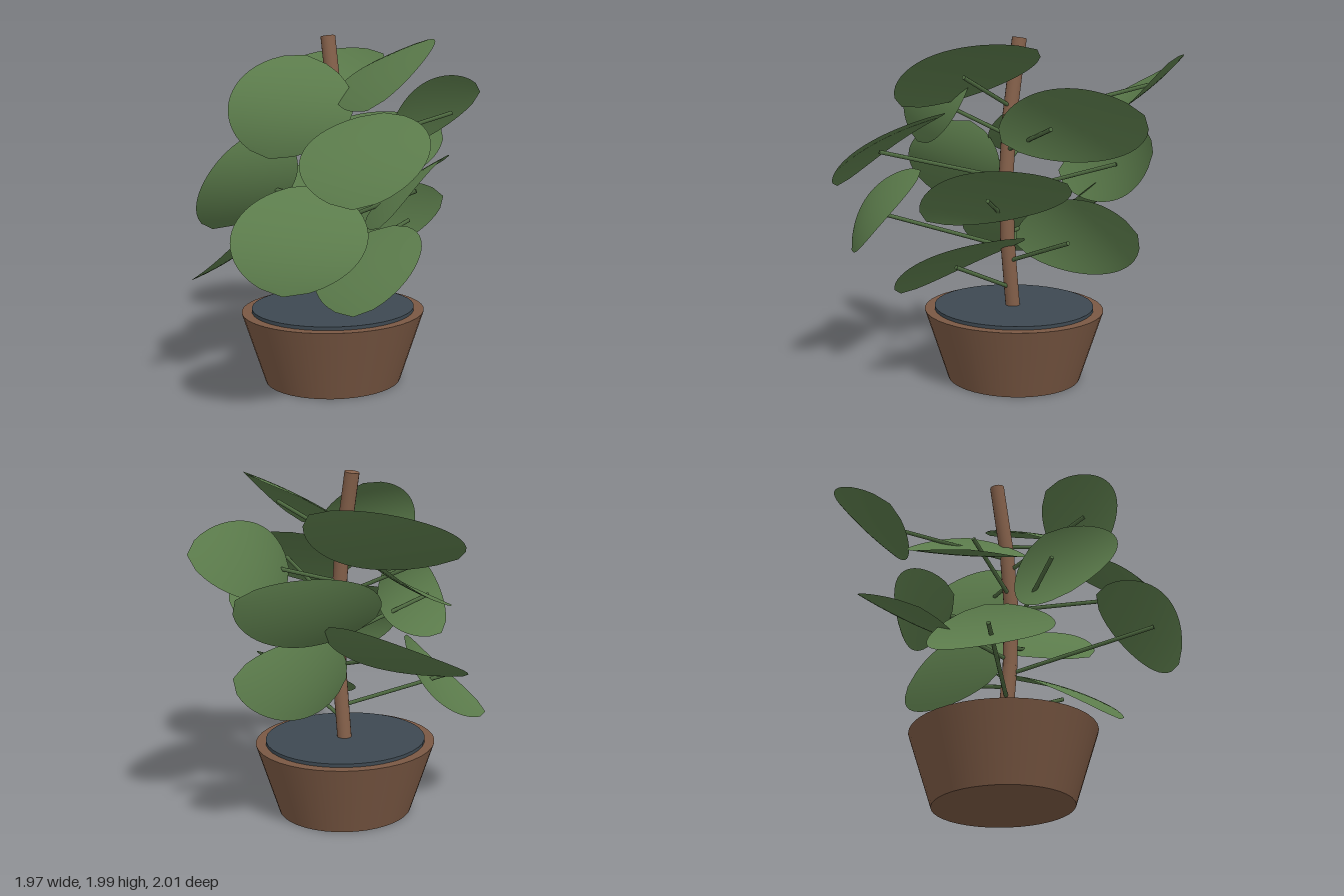
import * as THREE from 'three';

const mat = (color, side = THREE.FrontSide) => new THREE.MeshStandardMaterial({ color, side });

// Straight rod between two points
function rod(name, a, b, radius, material, sides) {
  const dir = b.clone().sub(a);
  const mesh = new THREE.Mesh(new THREE.CylinderGeometry(radius, radius, dir.length(), sides), material);
  mesh.position.copy(a).add(b).multiplyScalar(0.5);
  mesh.quaternion.setFromUnitVectors(new THREE.Vector3(0, 1, 0), dir.normalize());
  mesh.name = name;
  return mesh;
}

// Broad leaf blade: lemon outline, bent along its length
function leafBlade() {
  const geo = new THREE.PlaneGeometry(2, 2, 12, 20);
  const p = geo.attributes.position;
  for (let i = 0; i < p.count; i++) {
    const v = p.getX(i), u = p.getY(i);
    const w = 0.335 * Math.pow(Math.max(0, 1 - u * u), 0.62);
    p.setXYZ(i, v * w, u * 0.45, -0.09 * u * u - 0.02 * v * v * (1 - u * u));
  }
  return geo;
}

export function createModel() {
  const plant = new THREE.Group();
  plant.name = 'pottedPlant';
  const potMat = mat(0x7a5843), soilMat = mat(0x3d4851), barkMat = mat(0x84604a);
  const stalkMat = mat(0x4f6b41), leafMat = mat(0x5b7b4b, THREE.DoubleSide);

  // Pot and soil, slightly oval
  const disc = (name, rTop, rBottom, y0, y1, material) => {
    const mesh = new THREE.Mesh(new THREE.CylinderGeometry(rTop, rBottom, y1 - y0, 40), material);
    mesh.scale.x = 0.945;
    mesh.position.set(-0.03, (y0 + y1) / 2, 0.055);
    mesh.name = name;
    plant.add(mesh);
  };
  disc('pot', 0.54, 0.402, 0, 0.415, potMat);
  disc('soil', 0.48, 0.48, 0.38, 0.435, soilMat);

  // Trunk in slightly bent segments
  const knots = [[-0.025, 0.4], [0.02, 0.83], [0.03, 1.2], [0.0, 1.55], [-0.075, 1.985]]
    .map(([x, y]) => new THREE.Vector3(x, y, 0.055));
  const trunk = new THREE.Group();
  trunk.name = 'trunk';
  for (let i = 0; i < knots.length - 1; i++) {
    trunk.add(rod('trunkSegment', knots[i], knots[i + 1], 0.042, barkMat, 16));
  }
  plant.add(trunk);
  const trunkAt = (y) => {
    let i = 0;
    while (i < knots.length - 2 && y > knots[i + 1].y) i++;
    return knots[i].clone().lerp(knots[i + 1], (y - knots[i].y) / (knots[i + 1].y - knots[i].y));
  };

  // Leaf centres [x, z], lowest first, spiralling up by the golden angle
  const centres = [
    [0.36, 0.08], [-0.41, 0.43], [-0.1, -0.4], [0.49, 0.67], [-0.545, -0.08], [0.33, -0.21], [-0.06, 0.61],
    [-0.28, -0.45], [0.655, 0.36], [-0.33, 0.12], [0.11, -0.57], [0.185, 0.5], [-0.68, -0.32], [0.375, -0.03],
  ];
  const squash = new THREE.Matrix4().makeScale(1, 0.63, 1.06);
  centres.forEach(([x, z], i) => {
    const angle = THREE.MathUtils.degToRad(137.5 * i);
    const y = 0.73 + 0.0815 * i;

    // Blade
    const turn = new THREE.Matrix4().makeRotationFromEuler(new THREE.Euler(-Math.PI / 4, angle, 0.45));
    const geo = leafBlade().applyMatrix4(squash.clone().multiply(turn));
    geo.center();
    geo.computeVertexNormals();
    const leaf = new THREE.Mesh(geo, leafMat);
    leaf.position.set(x, y, z);
    leaf.name = 'leaf';
    plant.add(leaf);

    // Stalk rising from the trunk into the blade
    const reach = Math.hypot(x, z - 0.055) + 0.05;
    const end = new THREE.Vector3(Math.cos(angle) * reach, y, 0.055 + Math.sin(angle) * reach);
    plant.add(rod('leafStalk', trunkAt(y - 0.19), end, 0.012, stalkMat, 8));
  });
  return plant;
}
